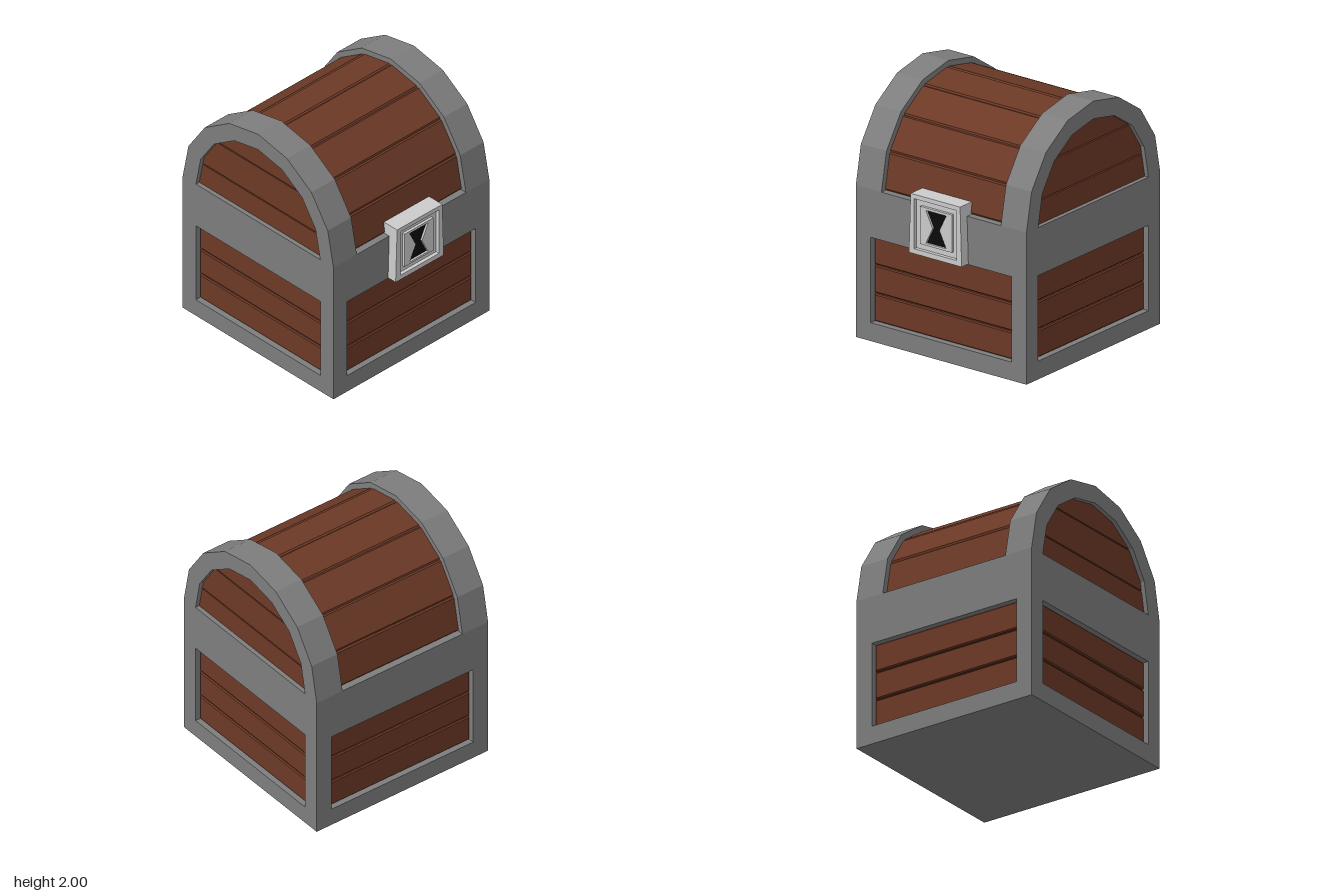
import * as THREE from 'three';

const mat = (color) => new THREE.MeshStandardMaterial({ color, flatShading: true, side: THREE.DoubleSide });
const iron = mat(0x7d7d7d), wood = mat(0x6c3926), darkWood = mat(0x3a1d12);
const steel = mat(0xcccccc), black = mat(0x0a0a0a);

const BASE = 1.2, HALF = 0.8, INNER = 0.66, STEPS = 8;

const poly = (pts) => new THREE.Shape(pts.map(([x, y]) => new THREE.Vector2(x, y)));
const rect = (w, y0, y1) => [[-w, y0], [w, y0], [w, y1], [-w, y1]];
const arc = (r) => Array.from({ length: STEPS + 1 }, (_, i) => {
  const a = (i / STEPS) * Math.PI;
  return [r * Math.cos(a), BASE + r * Math.sin(a)];
});

// Extrusion whose front face lies at z = front, with an optional chamfer inside the outline
function slab(name, pts, hole, depth, front, material, bevel = 0) {
  const shape = poly(pts);
  if (hole) shape.holes.push(poly(hole));
  const geo = new THREE.ExtrudeGeometry(shape, {
    depth: depth - 2 * bevel, bevelEnabled: bevel > 0, bevelThickness: bevel,
    bevelSize: bevel, bevelOffset: -bevel, bevelSegments: 1,
  });
  geo.translate(0, 0, front - depth + bevel);
  const mesh = new THREE.Mesh(geo, material);
  mesh.name = name;
  return mesh;
}

// Slice of the arch between two heights
function archSlice(r, y0, y1) {
  const pts = arc(r).slice(0, STEPS / 2 + 1);
  const widthAt = (y) => {
    for (let i = 0; i < pts.length - 1; i++) {
      const [xa, ya] = pts[i], [xb, yb] = pts[i + 1];
      if (y <= yb) return xa + ((xb - xa) * (y - ya)) / (yb - ya);
    }
    return 0;
  };
  const right = [[widthAt(y0), y0], ...pts.filter(([, y]) => y > y0 + 0.01 && y < y1 - 0.01)];
  right.push([widthAt(y1), y1]);
  const left = right.map(([x, y]) => [-x, y]).reverse();
  if (right[right.length - 1][0] < 1e-3) left.shift();
  return [...right, ...left];
}

// One framed wall with three recessed planks
function wall(name, halfWidth) {
  const g = new THREE.Group();
  g.name = name;
  g.add(slab('wallFrame', rect(halfWidth, 0, BASE), rect(INNER, 0.145, 0.82), 0.1, HALF, iron));
  for (let i = 0; i < 3; i++) {
    const y = 0.15 + i * 0.225;
    g.add(slab('wallPlank', rect(0.656, y, y + 0.216), null, 0.05, HALF - 0.035, wood, 0.009));
  }
  return g;
}

// Arched end: thick band around recessed planks
function archEnd() {
  const g = new THREE.Group();
  g.name = 'archEnd';
  g.add(slab('archBand', arc(HALF), null, 0.24, HALF, iron));
  g.children[0].geometry.dispose();
  const ring = [...arc(HALF), ...arc(INNER).reverse()];
  g.children[0].geometry = slab('', ring, null, 0.24, HALF, iron).geometry;
  for (const [y0, y1] of [[BASE, 1.382], [1.392, 1.66], [1.67, BASE + 0.68]])
    g.add(slab('endPlank', archSlice(0.68, y0, y1), null, 0.05, HALF - 0.035, wood));
  return g;
}

// Curved lid of chamfered planks over a dark lining
function lid() {
  const g = new THREE.Group();
  g.name = 'lid';
  const r = 0.755, half = Math.PI / STEPS / 2;
  const w = r * Math.sin(half) - 0.002;
  for (let i = 0; i < STEPS; i++) {
    const plank = slab('lidPlank', rect(0.575, -w, w), null, 0.05, r * Math.cos(half), wood, 0.012);
    plank.position.y = BASE;
    plank.rotation.x = -(2 * i + 1) * half;
    g.add(plank);
  }
  const lining = new THREE.Mesh(
    new THREE.CylinderGeometry(0.725, 0.725, 1.14, STEPS, 1, true, 0, Math.PI), darkWood);
  lining.name = 'lidLining';
  lining.rotation.z = Math.PI / 2;
  lining.position.y = BASE;
  g.add(lining);
  return g;
}

// Lock plate with stepped face and hourglass keyhole
function lock() {
  const g = new THREE.Group();
  g.name = 'lock';
  const outline = [[-0.247, 0.825], [0.247, 0.825], [0.232, 1.295], [-0.232, 1.295]];
  const keyhole = [[-0.095, 0.93], [0.095, 0.93], [0.032, 1.06], [0.095, 1.19], [-0.095, 1.19], [-0.032, 1.06]];
  g.add(slab('lockRim', outline, rect(0.198, 0.865, 1.26), 0.14, 0.84, steel));
  g.add(slab('lockFace', rect(0.2, 0.863, 1.262), null, 0.1, 0.81, steel));
  g.add(slab('lockPlate', rect(0.148, 0.912, 1.21), keyhole, 0.03, 0.832, steel));
  g.add(slab('keyhole', keyhole, null, 0.01, 0.815, black));
  g.position.x = 0.008;
  return g;
}

export function createModel() {
  const chest = new THREE.Group();
  chest.name = 'chest';
  const body = new THREE.Group();
  body.name = 'body';
  body.position.z = -0.04;

  // Four walls and two arched ends
  ['frontWall', 'leftWall', 'backWall', 'rightWall'].forEach((name, i) => {
    const side = i % 2 === 1;
    const part = wall(name, side ? HALF : 0.7);
    part.rotation.y = (i * Math.PI) / 2;
    body.add(part);
    if (side) {
      const end = archEnd();
      end.rotation.y = part.rotation.y;
      body.add(end);
    }
  });

  const floor = new THREE.Mesh(new THREE.BoxGeometry(1.4, 0.1, 1.4), iron);
  floor.name = 'floor';
  floor.position.y = 0.05;
  body.add(floor, lid());

  chest.add(body, lock());
  return chest;
}
